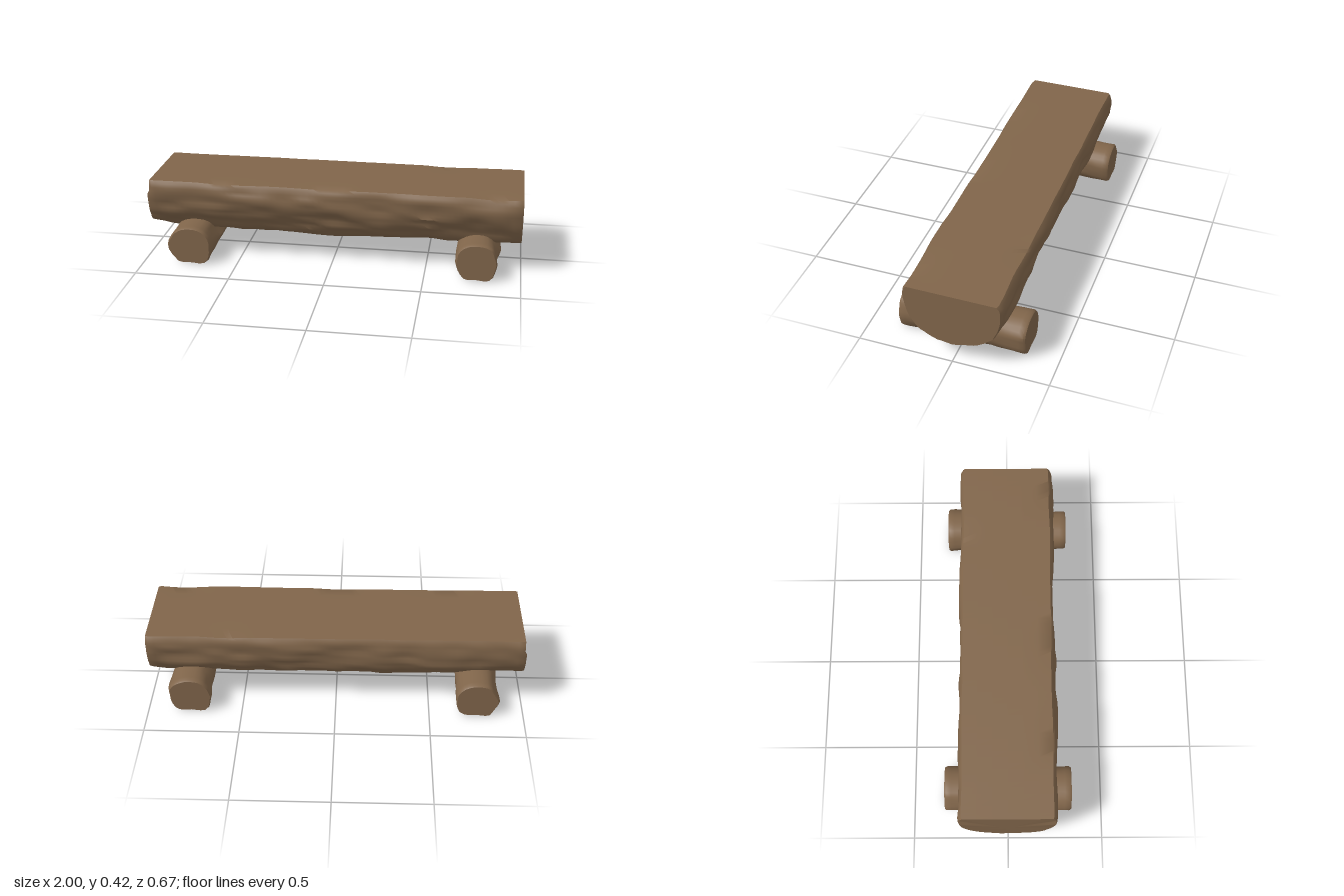
import * as THREE from 'three';
import { toCreasedNormals } from 'three/addons/utils/BufferGeometryUtils.js';

// Repeatable smooth value noise in -1..1
const hash = (i, j, s) => {
  const v = Math.sin(i * 127.1 + j * 311.7 + s * 74.7) * 43758.5453;
  return (v - Math.floor(v)) * 2 - 1;
};
function noise(x, y, s) {
  const i = Math.floor(x), j = Math.floor(y);
  const f = x - i, g = y - j;
  const u = f * f * (3 - 2 * f), v = g * g * (3 - 2 * g);
  const { lerp } = THREE.MathUtils;
  return lerp(lerp(hash(i, j, s), hash(i + 1, j, s), u),
    lerp(hash(i, j + 1, s), hash(i + 1, j + 1, s), u), v);
}

// Smooth outline through [z, y] points
function outline(points, count, closed) {
  const curve = new THREE.CatmullRomCurve3(
    points.map(([z, y]) => new THREE.Vector3(0, y, z)), closed, 'centripetal');
  const list = curve.getSpacedPoints(count);
  if (closed) list.pop();
  return list.map(p => [p.z, p.y]);
}

// Solid log along x: the outline, anticlockwise seen from +x, is repeated
// at each station and moved by shape(x, z, y)
function loftLog(profile, stations, shape, crease) {
  const n = profile.length, pos = [], idx = [];
  for (const x of stations) for (const [z, y] of profile) pos.push(...shape(x, z, y));
  for (let i = 0; i < stations.length - 1; i++) {
    for (let j = 0; j < n; j++) {
      const a = i * n + j, b = i * n + (j + 1) % n;
      idx.push(a, b, b + n, a, b + n, a + n);
    }
  }
  // End caps
  for (const end of [0, 1]) {
    const start = end * (stations.length - 1) * n;
    const c = [0, 0, 0];
    for (let j = 0; j < n; j++) for (let k = 0; k < 3; k++) c[k] += pos[(start + j) * 3 + k] / n;
    const centre = pos.length / 3;
    pos.push(...c);
    for (let j = 0; j < n; j++) {
      const a = start + j, b = start + (j + 1) % n;
      if (end) idx.push(centre, a, b); else idx.push(centre, b, a);
    }
  }
  const geo = new THREE.BufferGeometry();
  geo.setAttribute('position', new THREE.Float32BufferAttribute(pos, 3));
  geo.setIndex(idx);
  return toCreasedNormals(geo, crease);
}

const range = (a, b, n) => Array.from({ length: n + 1 }, (_, i) => a + (b - a) * i / n);

// Half log with a flat sawn top and rough bark
function seatGeometry() {
  const bark = outline([
    [0.232, 0.425], [0.246, 0.405], [0.246, 0.33], [0.228, 0.26], [0.2, 0.205], [0.165, 0.16],
    [0.1, 0.128], [0, 0.11], [-0.1, 0.13], [-0.17, 0.17], [-0.215, 0.21], [-0.242, 0.265],
    [-0.256, 0.34], [-0.252, 0.405], [-0.238, 0.425]], 48, false);
  const top = [-0.16, -0.08, 0, 0.08, 0.16].map(z => [z, 0.425]);
  const stations = [-1, -0.985, ...range(-0.95, 0.95, 60), 0.98, 0.995];
  return loftLog([...bark, ...top], stations, (x, z, y) => {
    const under = THREE.MathUtils.smoothstep(0.425 - y, 0, 0.06);
    const low = THREE.MathUtils.smoothstep(0.3 - y, 0, 0.18);
    // Angle round the log, measured from straight down
    const a = Math.atan2(z, 0.31 - y);
    const ends = 1 - 0.6 * THREE.MathUtils.smoothstep(Math.abs(x), 0.9, 1);
    const rough = (0.01 * noise(x * 4, a * 3, 1) + 0.008 * noise(x * 8, a * 8, 2)) * ends;
    const side = Math.abs(z) > 0.2 ? 1 : under;
    const push = rough * (0.35 + 0.65 * under) * side;
    const r = Math.hypot(z, y - 0.31) || 1;
    const rim = Math.abs(x) > 0.985 ? 0.975 : 1;
    // Belly hangs lower in the middle, rises at the left end
    const sag = low * (0.022 * x * x * (x < 0 ? 1.2 : 0.5) - 0.005);
    // Shallow chips along the sawn edges
    const chip = Math.abs(z) > 0.22 && y > 0.39
      ? 0.01 * Math.max(0, noise(x * 3.5, z * 10, 5)) * ends : 0;
    const slant = x < -0.98 ? 0.015 * (1 - low) * (y > 0.36 ? 1 : 0.3) : 0;
    return [
      x + slant,
      y + push * under * (y - 0.31) / r + sag - chip - 0.002 * x * (1 - under),
      (z + push * z / r) * rim,
    ];
  }, 0.8);
}

// Short round log with a flattened underside
function supportGeometry(seed) {
  const round = outline([
    [-0.075, 0.012], [-0.1, 0.045], [-0.112, 0.105], [-0.096, 0.16], [-0.055, 0.195], [0, 0.205],
    [0.055, 0.195], [0.096, 0.16], [0.112, 0.105], [0.1, 0.045], [0.075, 0.012], [0, 0.009],
  ], 28, true);
  const stations = [-0.335, -0.325, ...range(-0.3, 0.3, 18), 0.325, 0.335];
  const geo = loftLog(round, stations, (x, z, y) => {
    const a = Math.atan2(y - 0.1, z);
    // Wrap the noise round the log so it has no seam
    const push = 0.011 * noise(x * 6 + Math.cos(a) * 1.5, Math.sin(a) * 2, seed)
      + 0.004 * noise(x * 14 + Math.cos(a) * 3, Math.sin(a) * 5, seed + 3);
    const rim = Math.abs(x) > 0.33 ? 0.94 : 1;
    const k = (1 + push / 0.1) * rim;
    const stretch = y > 0.105 ? rim + push * 2 : 1 + push * 4;
    return [x, Math.max(0, 0.105 + (y - 0.105) * stretch), z * k];
  }, 0.8);
  return geo.rotateY(Math.PI / 2);
}

export function createModel() {
  const wood = new THREE.MeshStandardMaterial({ color: 0x80654a });
  wood.name = 'brown wood';
  const bench = new THREE.Group();
  bench.name = 'logBench';

  const seat = new THREE.Mesh(seatGeometry(), wood);
  seat.name = 'seat';
  bench.add(seat);

  for (const [name, x, seed] of [['rightSupport', -0.75, 11], ['leftSupport', 0.77, 23]]) {
    const support = new THREE.Mesh(supportGeometry(seed), wood);
    support.name = name;
    support.position.x = x;
    bench.add(support);
  }
  return bench;
}
